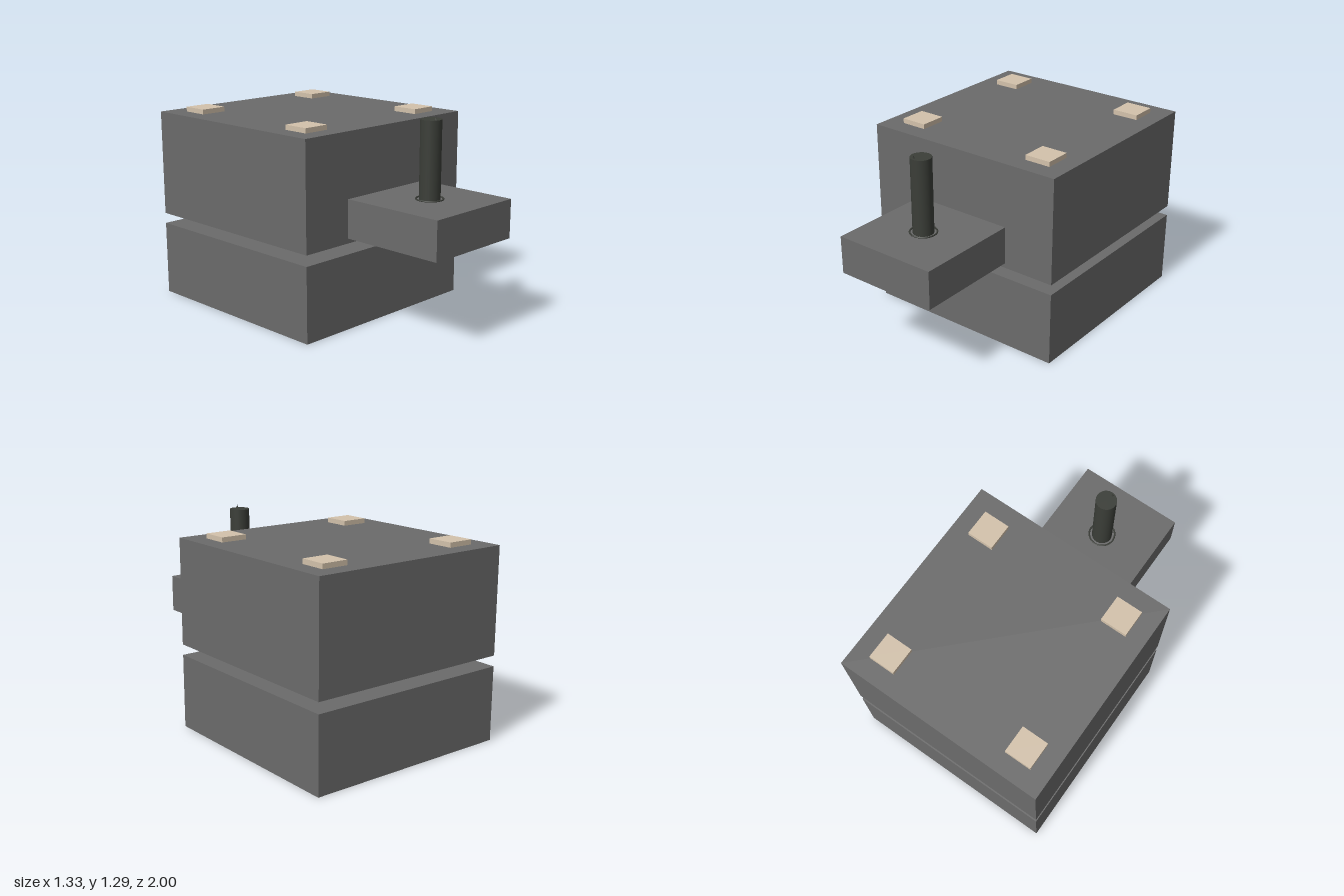
import * as THREE from 'three';

export function createModel() {
  const model = new THREE.Group();
  const bodyMat = new THREE.MeshStandardMaterial({ color: 0x6b6b6b });
  const padMat = new THREE.MeshStandardMaterial({ color: 0xd3c2ab });
  const rodMat = new THREE.MeshStandardMaterial({ color: 0x3b3e38 });

  const add = (name, geometry, material, x, y, z) => {
    const mesh = new THREE.Mesh(geometry, material);
    mesh.name = name;
    mesh.position.set(x, y, z);
    model.add(mesh);
    return mesh;
  };
  // Box given by its x, y and z ranges
  const box = (name, material, [x0, x1], [y0, y1], [z0, z1]) =>
    add(name, new THREE.BoxGeometry(x1 - x0, y1 - y0, z1 - z0), material,
      (x0 + x1) / 2, (y0 + y1) / 2, (z0 + z1) / 2);

  // Stacked blocks joined by a narrow neck, with a shelf at the front
  box('lowerBlock', bodyMat, [-0.667, 0.667], [0, 0.468], [-1, 0.333]);
  box('neck', bodyMat, [-0.267, 0.267], [0.468, 0.535], [-0.6, -0.067]);
  box('upperBlock', bodyMat, [-0.667, 0.667], [0.535, 1.2], [-1, 0.333]);
  box('frontShelf', bodyMat, [-0.333, 0.333], [0.565, 0.802], [0.333, 1]);

  // Square pads at the corners, above and below the upper block
  for (const x of [-0.467, 0.467]) {
    for (const z of [-0.8, 0.13]) {
      for (const [name, y] of [['topPad', [1.2, 1.23]], ['bottomPad', [0.5, 0.535]]]) {
        box(name, padMat, [x - 0.084, x + 0.084], y, [z - 0.084, z + 0.084]);
      }
    }
  }

  // Upright rod with a thin collar and a tiny point on its end
  add('rod', new THREE.CylinderGeometry(0.063, 0.063, 0.705, 24), rodMat, 0, 0.9175, 0.667);
  const collar = add('rodCollar', new THREE.TorusGeometry(0.08, 0.005, 8, 32), rodMat, 0, 0.805, 0.667);
  collar.rotation.x = Math.PI / 2;
  add('rodPoint', new THREE.ConeGeometry(0.006, 0.022, 6), rodMat, -0.013, 1.281, 0.713);

  return model;
}
